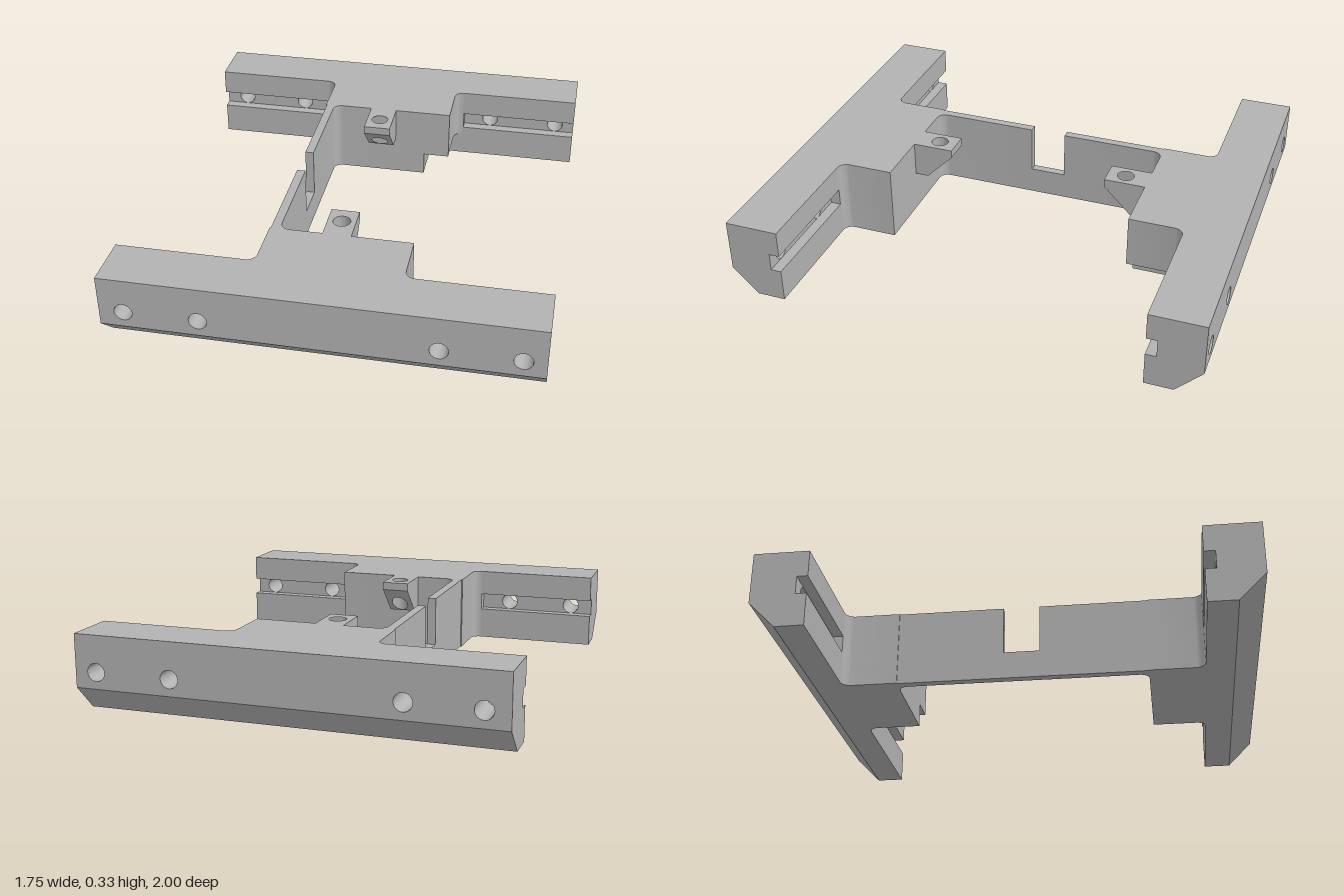
import * as THREE from 'three';
import { toCreasedNormals } from 'three/addons/utils/BufferGeometryUtils.js';

const grey = new THREE.MeshStandardMaterial({ color: 0xb2b2b2 });
grey.name = 'grey';

const H = 0.33;      // overall height
const HALF = 0.875;  // half length of the rails

const shapeOf = (pts) => new THREE.Shape(pts.map(([x, y]) => new THREE.Vector2(x, y)));

function circle(x, y, r) {
  return new THREE.Path().absarc(x, y, r, 0, Math.PI * 2, true);
}

function extrude(shape, depth) {
  return new THREE.ExtrudeGeometry(shape, { depth, bevelEnabled: false, curveSegments: 20 });
}

// Plan drawn in x/z, filling the heights y0 to y1
function extrudePlan(shape, y0, y1) {
  return extrude(shape, y1 - y0).rotateX(Math.PI / 2).translate(0, y1, 0);
}

// Profile drawn in z/y, running along x
function extrudeAlongX(pts, x0, x1) {
  return extrude(shapeOf(pts), x1 - x0).rotateY(-Math.PI / 2).translate(x1, 0, 0);
}

function addMesh(group, name, geometry) {
  const mesh = new THREE.Mesh(toCreasedNormals(geometry, 0.5), grey);
  mesh.name = name;
  group.add(mesh);
}

// Quarter-circle fillet, angles in quarter turns
function fillet(cx, cz, from, to, r = 0.04) {
  const pts = [];
  for (let i = 0; i <= 8; i++) {
    const a = (from + (to - from) * i / 8) * Math.PI / 2;
    pts.push([cx + r * Math.cos(a), cz + r * Math.sin(a)]);
  }
  return pts;
}

// Centre block with its half of the thin wall; right is the block's +x side
function blockPlan(s, right) {
  const pts = [
    [-0.295, 0.078], [-0.258, 0.078],
    ...fillet(-0.218, 0.495, 2, 1),
    [right, 0.535],
    ...fillet(right + 0.04, 0.73, 2, 1),
    [0.34, 0.77], [0.34, 0.815], [-0.34, 0.815],
    ...fillet(-0.34, 0.73, 1, 0),
    [-0.30, 0.535], [-0.295, 0.535],
  ];
  return shapeOf(pts.map(([x, z]) => [x, z * s]));
}

function buildHalf(s) {
  const half = new THREE.Group();
  half.name = s > 0 ? 'frontHalf' : 'backHalf';
  const side = (pts) => pts.map(([z, y]) => [z * s, y]);

  // Outer rail face with four bolt holes opening into the groove
  const face = shapeOf([[-HALF, 0.11], [HALF, 0.11], [HALF, H], [-HALF, H]]);
  for (const x of [-0.775, -0.473, 0.467, 0.785]) face.holes.push(circle(x, 0.179, 0.037));
  addMesh(half, 'railFace', extrude(face, 0.185).translate(0, 0, s > 0 ? 0.815 : -1));

  // Chamfered foot and upper lip, leaving the groove between them
  addMesh(half, 'railFoot', extrudeAlongX(side([
    [0.77, 0], [0.89, 0], [1, 0.11], [0.815, 0.11], [0.815, 0.141], [0.77, 0.141],
  ]), -HALF, HALF));
  addMesh(half, 'railLip', extrudeAlongX(side([
    [0.77, 0.217], [0.815, 0.217], [0.815, H], [0.77, H],
  ]), -HALF, HALF));

  // Centre block; the back one is notched at its lower corner
  if (s > 0) {
    addMesh(half, 'centreBlock', extrudePlan(blockPlan(s, 0.297), 0, H));
  } else {
    addMesh(half, 'centreBlock', extrudePlan(blockPlan(s, 0.297), 0.105, H));
    addMesh(half, 'centreBlockBase', extrudePlan(blockPlan(s, 0.18), 0, 0.105));
  }

  // Mounting tab: root, then a tip with a vertical hole and sloped underside
  addMesh(half, 'tabRoot', extrudeAlongX(side([
    [0.475, 0.175], [0.535, 0.175], [0.535, H], [0.475, H],
  ]), -0.08, 0.04));
  const tip = shapeOf([[-0.08, 0.355 * s], [0.04, 0.355 * s], [0.04, 0.475 * s], [-0.08, 0.475 * s]]);
  tip.holes.push(circle(-0.02, 0.435 * s, 0.037));
  const tipGeometry = extrudePlan(tip, 0, H);
  const p = tipGeometry.attributes.position;
  for (let i = 0; i < p.count; i++) {
    if (p.getY(i) < 0.1) p.setY(i, 0.65 - Math.abs(p.getZ(i)));
  }
  addMesh(half, 'tabTip', tipGeometry);
  return half;
}

export function createModel() {
  const model = new THREE.Group();
  model.name = 'mountingFrame';
  model.add(buildHalf(1), buildHalf(-1));

  // Low part of the wall beneath the central slot
  const bridge = new THREE.BoxGeometry(0.037, 0.12, 0.156).translate(-0.2765, 0.06, 0);
  addMesh(model, 'wallBridge', bridge);
  return model;
}
